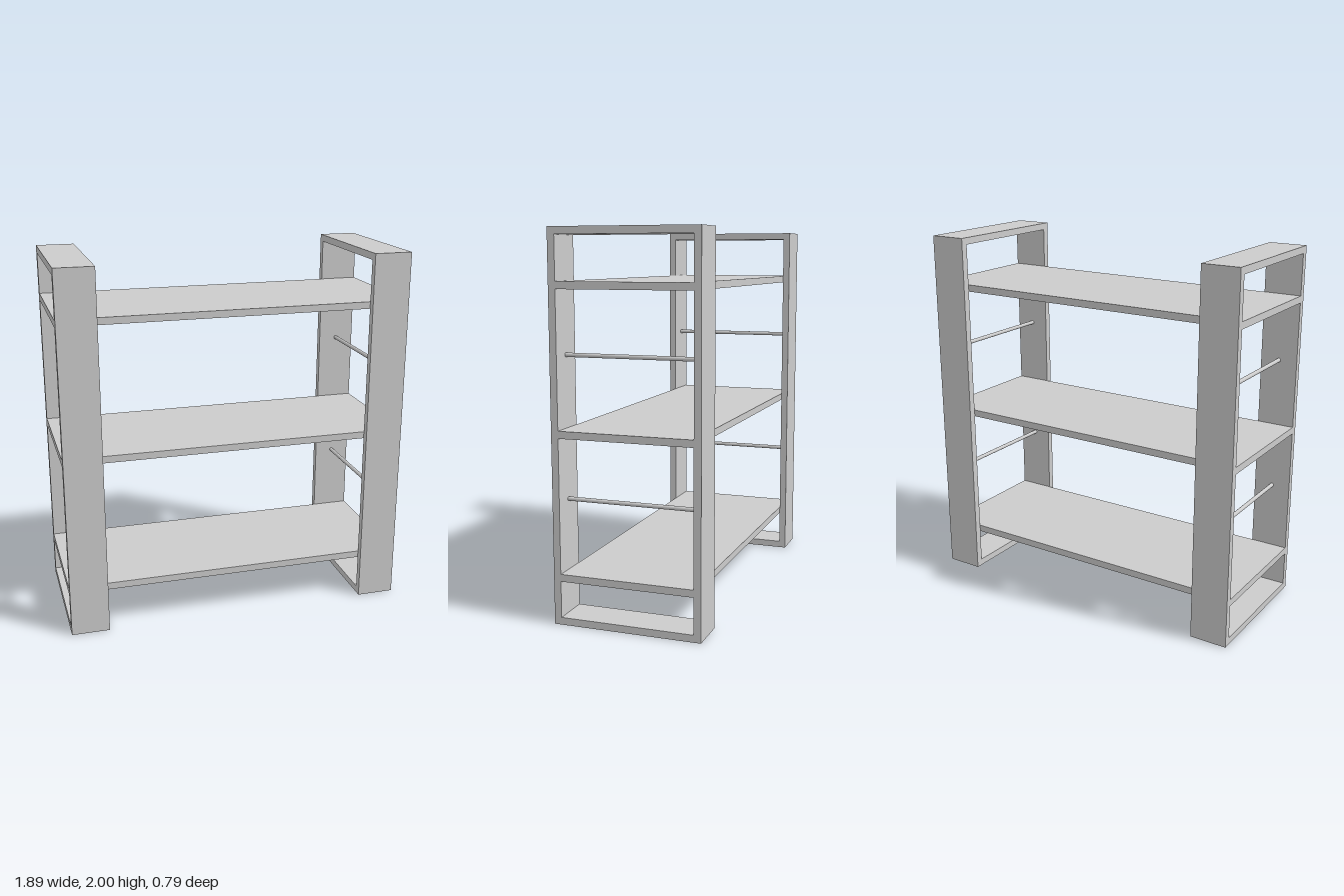
import * as THREE from 'three';

export function createModel() {
  const model = new THREE.Group();
  const material = new THREE.MeshStandardMaterial({ color: 0xcccccc });
  const add = (geometry, name, x, y, z) => {
    const mesh = new THREE.Mesh(geometry, material);
    mesh.name = name;
    mesh.position.set(x, y, z);
    model.add(mesh);
    return mesh;
  };

  const halfWidth = 0.945, frameWidth = 0.208, halfDepth = 0.394;
  const height = 2, board = 0.038;
  const innerDepth = 2 * (halfDepth - board);

  // Rectangular end frame: outline with one opening, extruded along x
  const outline = new THREE.Shape([
    new THREE.Vector2(-halfDepth, 0), new THREE.Vector2(halfDepth, 0),
    new THREE.Vector2(halfDepth, height), new THREE.Vector2(-halfDepth, height),
  ]);
  const z = innerDepth / 2;
  outline.holes.push(new THREE.Path([
    new THREE.Vector2(-z, board), new THREE.Vector2(-z, height - board),
    new THREE.Vector2(z, height - board), new THREE.Vector2(z, board),
  ]));
  const frame = new THREE.ExtrudeGeometry(outline, { depth: frameWidth, bevelEnabled: false });
  frame.translate(0, 0, -frameWidth / 2);
  frame.rotateY(Math.PI / 2);

  // Thin round rail running front to back inside each frame
  const rail = new THREE.CylinderGeometry(0.011, 0.011, innerDepth, 24);
  rail.rotateX(Math.PI / 2);

  for (const [side, label] of [[1, 'left'], [-1, 'right']]) {
    const x = side * (halfWidth - frameWidth / 2);
    add(frame, label + 'EndFrame', x, 0, 0);
    add(rail, label + 'LowerRail', x, 0.636, 0);
    add(rail, label + 'UpperRail', x, 1.372, 0);
  }

  // Shelves pass through both frames, flush with their outer faces
  const shelf = new THREE.BoxGeometry(2 * halfWidth, board, innerDepth);
  [['lowerShelf', 0.247], ['middleShelf', 0.983], ['upperShelf', 1.719]]
    .forEach(([name, y]) => add(shelf, name, 0, y, 0));

  return model;
}
